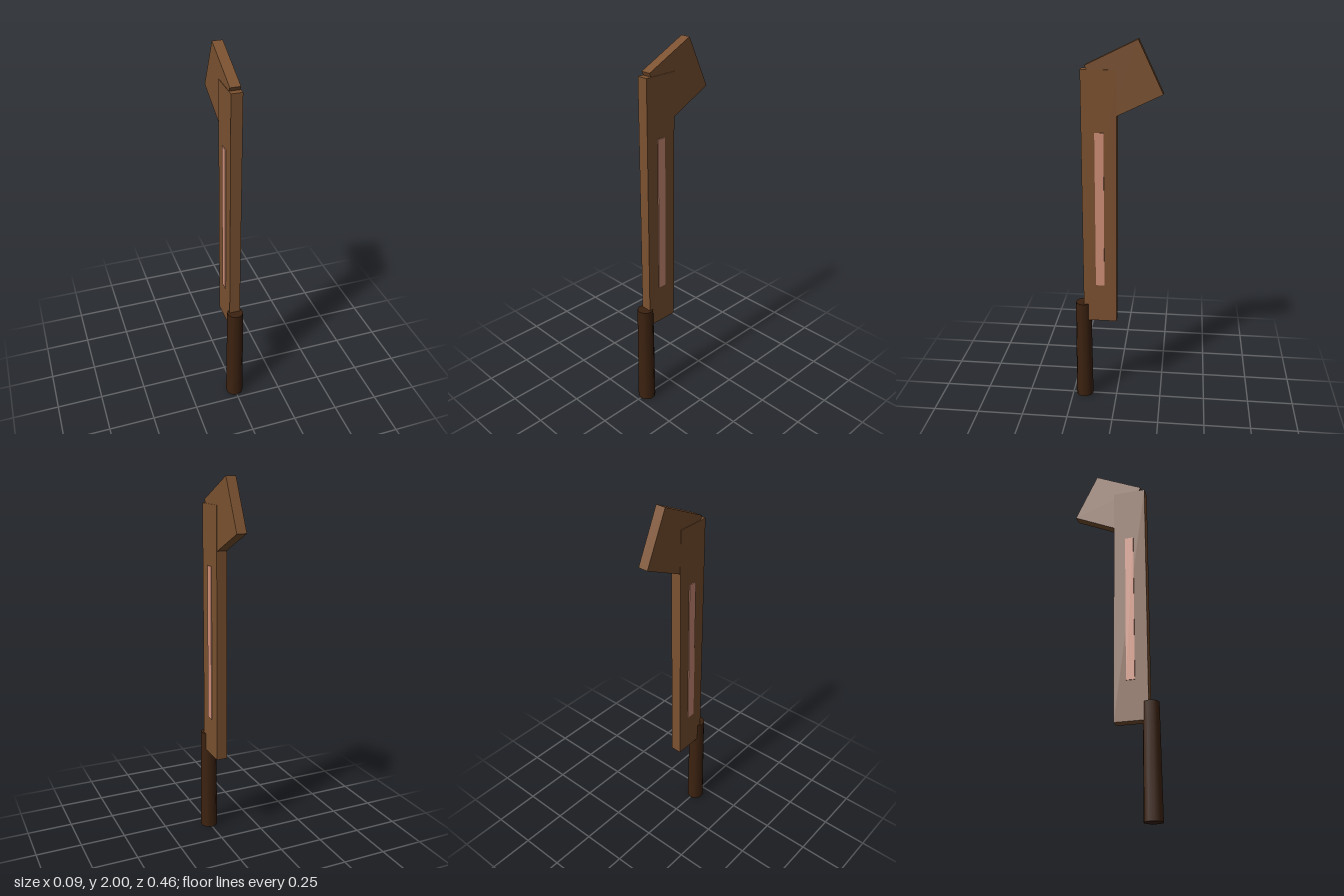
import * as THREE from 'three';

export function createModel() {
  const model = new THREE.Group();
  model.name = 'woodenClub';

  const material = (name, color) => {
    const m = new THREE.MeshStandardMaterial({ color });
    m.name = name;
    return m;
  };
  const wood = material('brown wood', 0x7b5130);
  const inlay = material('pink inlay', 0xd08f78);
  const grip = material('dark grip', 0x3c2210);

  const add = (name, geometry, mat, x, y, z) => {
    const mesh = new THREE.Mesh(geometry, mat);
    mesh.name = name;
    mesh.position.set(x, y, z);
    model.add(mesh);
    return mesh;
  };

  // Ten-sided, slightly tapered handle
  add('handle', new THREE.CylinderGeometry(0.043, 0.048, 0.587, 10), grip, 0, 0.2935, 0.183);

  // Long flat blade
  add('blade', new THREE.BoxGeometry(0.058, 1.365, 0.18), wood, 0, 1.1725, 0.087);

  // Square head tilted backwards, a touch thinner than the blade
  const head = add('head', new THREE.BoxGeometry(0.053, 0.289, 0.289), wood, 0, 1.807, -0.038);
  head.rotation.x = 0.449;

  // Thin inlay strip on each side of the blade
  for (const side of [-1, 1]) {
    add(side > 0 ? 'leftInlay' : 'rightInlay', new THREE.BoxGeometry(0.008, 0.838, 0.046), inlay,
      side * 0.029, 1.125, 0.086);
  }

  return model;
}
